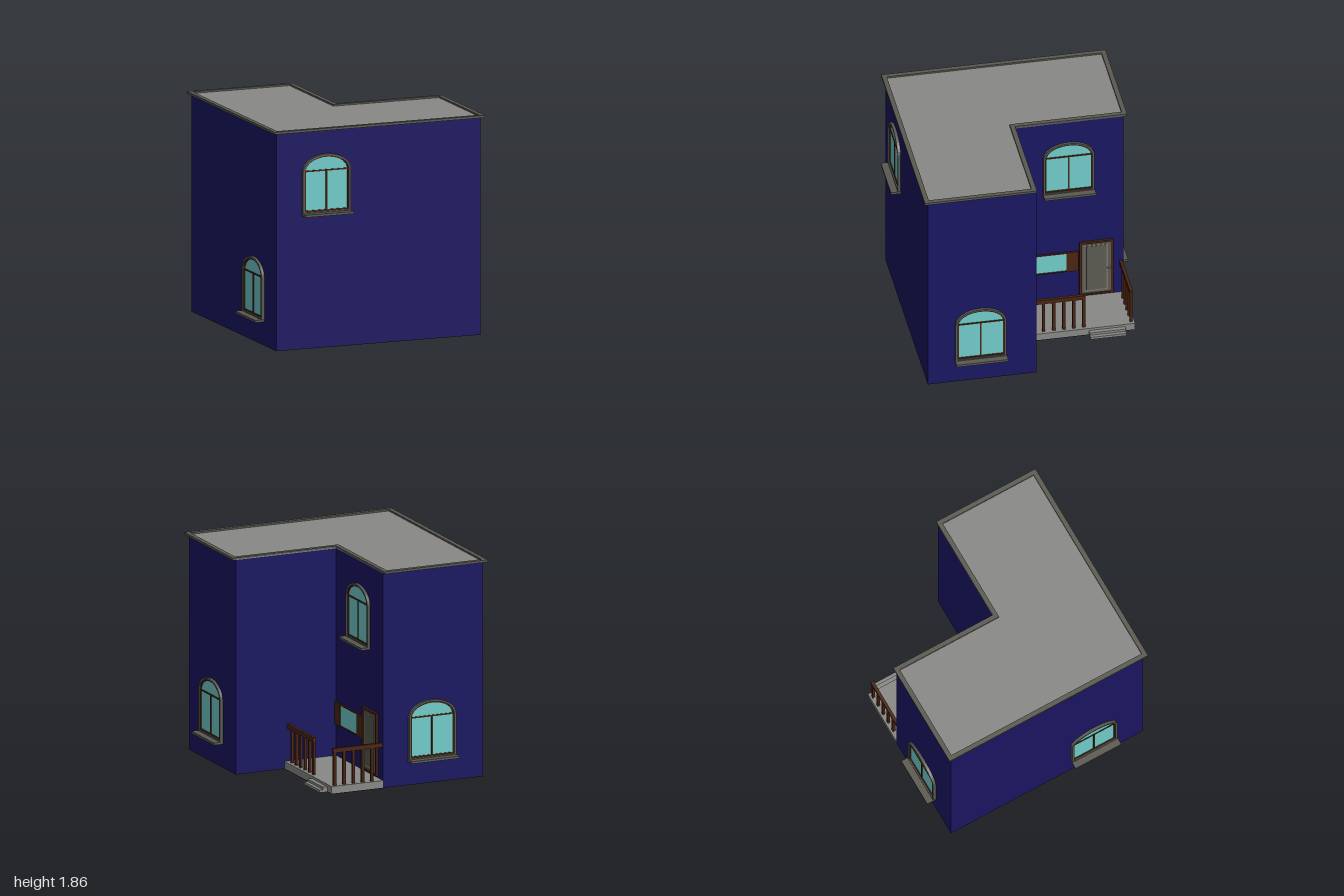
import * as THREE from 'three';

const mat = (color) => new THREE.MeshStandardMaterial({ color });
const M = {
  wall: mat(0x1a1662), trim: mat(0x5a5951), roof: mat(0x888886),
  wood: mat(0x4a2412), glass: mat(0x70cbc9), base: mat(0x2e170b), inset: mat(0x77766f),
};

function add(parent, name, geometry, material) {
  const mesh = new THREE.Mesh(geometry, material);
  mesh.name = name;
  parent.add(mesh);
  return mesh;
}

// Box given by its min and max corners
function box(parent, name, material, x0, x1, y0, y1, z0, z1) {
  const mesh = add(parent, name, new THREE.BoxGeometry(x1 - x0, y1 - y0, z1 - z0), material);
  mesh.position.set((x0 + x1) / 2, (y0 + y1) / 2, (z0 + z1) / 2);
  return mesh;
}

// L-shaped outline: outer half size h, inner corner at (c, c)
const lPoints = (h, c) => [[-h, -h], [h, -h], [h, c], [c, c], [c, h], [-h, h]]
  .map(([x, y]) => new THREE.Vector2(x, y));

// Horizontal L-shaped slab between two heights, with an optional hole outline
function lSlab(parent, name, material, h, y0, y1, hole) {
  const shape = new THREE.Shape(lPoints(h, 0));
  if (hole) shape.holes.push(new THREE.Path(hole));
  const geo = new THREE.ExtrudeGeometry(shape, { depth: y1 - y0, bevelEnabled: false });
  geo.rotateX(-Math.PI / 2);
  geo.translate(0, y0, 0);
  return add(parent, name, geo, material);
}

// Arched outline: half width w, sides from bottom to spring, elliptical head of the given rise
function archPoints(w, bottom, spring, rise) {
  const pts = [new THREE.Vector2(-w, bottom), new THREE.Vector2(w, bottom)];
  for (let i = 0; i <= 20; i++) {
    const a = (i / 20) * Math.PI;
    pts.push(new THREE.Vector2(w * Math.cos(a), spring + rise * Math.sin(a)));
  }
  return pts;
}

function arch(parent, name, material, outer, inner, depth) {
  const shape = new THREE.Shape(outer);
  if (inner) shape.holes.push(new THREE.Path(inner));
  return add(parent, name, new THREE.ExtrudeGeometry(shape, { depth, bevelEnabled: false }), material);
}

// Arched window facing +z; its origin is at the bottom centre on the wall
function archedWindow(name) {
  const g = new THREE.Group();
  g.name = name;
  const outer = archPoints(0.215, 0.02, 0.372, 0.14);
  const mid = archPoints(0.197, 0.03, 0.372, 0.124);
  const inner = archPoints(0.187, 0.042, 0.372, 0.113);
  arch(g, 'windowSurround', M.trim, outer, mid, 0.025);
  arch(g, 'windowFrame', M.wood, mid, inner, 0.014);
  arch(g, 'windowGlass', M.glass, inner, null, 0.006);
  box(g, 'transom', M.wood, -0.187, 0.187, 0.367, 0.379, 0, 0.013);
  box(g, 'mullion', M.wood, -0.007, 0.007, 0.042, 0.367, 0, 0.013);
  box(g, 'windowSill', M.trim, -0.218, 0.218, 0, 0.02, 0, 0.083);
  return g;
}

// Straight railing along +x from the origin, with posts at the given distances
function railing(name, length, posts) {
  const g = new THREE.Group();
  g.name = name;
  box(g, 'handrail', M.wood, 0, length, 0.345, 0.383, -0.013, 0.013);
  for (const p of posts) box(g, 'railPost', M.wood, p - 0.012, p + 0.012, 0.065, 0.346, -0.011, 0.011);
  return g;
}

// Entrance door facing +z, centred on x
function entranceDoor() {
  const g = new THREE.Group();
  g.name = 'entranceDoor';
  for (const s of [-1, 1]) box(g, 'doorJamb', M.wood, s * 0.133 - 0.009, s * 0.133 + 0.009, 0.08, 0.615, 0, 0.02);
  box(g, 'doorHead', M.wood, -0.124, 0.124, 0.597, 0.615, 0, 0.02);
  box(g, 'threshold', M.wood, -0.124, 0.124, 0.08, 0.095, 0, 0.02);
  box(g, 'doorLeaf', M.trim, -0.124, 0.124, 0.095, 0.597, 0, 0.01);
  box(g, 'doorMoulding', M.inset, -0.098, 0.098, 0.115, 0.58, 0, 0.013);
  box(g, 'doorPanel', M.trim, -0.085, 0.085, 0.128, 0.567, 0, 0.015);
  box(g, 'doorHandle', M.roof, 0.09, 0.122, 0.335, 0.344, 0.02, 0.03);
  box(g, 'handleStem', M.roof, 0.113, 0.122, 0.335, 0.344, 0.008, 0.02);
  return g;
}

// Low window on the porch wall, facing +z, with a solid panel at each side
function porchWindow() {
  const g = new THREE.Group();
  g.name = 'porchWindow';
  box(g, 'porchGlass', M.glass, -0.165, 0.165, 0.345, 0.518, 0, 0.008);
  for (const s of [-1, 1]) box(g, 'shutter', M.wood, s * 0.215 - 0.05, s * 0.215 + 0.05, 0.335, 0.528, 0, 0.015);
  for (const y of [0.335, 0.518]) box(g, 'porchWindowRail', M.wood, -0.165, 0.165, y, y + 0.01, 0, 0.015);
  return g;
}

export function createModel() {
  const house = new THREE.Group();
  house.name = 'house';
  const W = 0.915;

  // Shell and roof
  lSlab(house, 'houseBase', M.base, W, 0, 0.004);
  lSlab(house, 'walls', M.wall, W, 0.004, 1.835);
  lSlab(house, 'roofDeck', M.roof, 0.93, 1.835, 1.841);
  lSlab(house, 'roofRim', M.trim, 0.945, 1.835, 1.855, lPoints(0.905, -0.04));

  // Windows: name, x, y, z, turn about y
  const windows = [
    ['frontWindow', -0.47, 1.125, W, 0],
    ['leftSideWindow', W, 0.2, 0.47, Math.PI / 2],
    ['rightSideWindow', -W, 0.2, 0.442, -Math.PI / 2],
    ['backWindow', -0.445, 0.2, -W, Math.PI],
    ['abovePorchWindow', 0, 1.125, -0.45, Math.PI / 2],
  ];
  for (const [name, x, y, z, turn] of windows) {
    const w = archedWindow(name);
    w.position.set(x, y, z);
    w.rotation.y = turn;
    house.add(w);
  }

  // Porch and steps
  const porch = new THREE.Group();
  porch.name = 'porch';
  box(porch, 'porchBase', M.base, 0, 0.47, 0, 0.004, -0.92, 0);
  box(porch, 'porchFloor', M.roof, 0, 0.47, 0.004, 0.065, -0.92, 0);
  box(porch, 'upperStep', M.roof, 0.46, 0.508, 0, 0.044, -0.835, -0.53);
  box(porch, 'lowerStep', M.roof, 0.46, 0.54, 0, 0.022, -0.835, -0.53);

  // Railings at the open side and the back
  const side = railing('sideRailing', 0.505, [0.07, 0.155, 0.24, 0.325, 0.41, 0.493]);
  side.position.set(0.433, 0, 0);
  side.rotation.y = Math.PI / 2;
  const back = railing('backRailing', 0.45, [0.09, 0.175, 0.26, 0.345, 0.43]);
  back.position.z = -0.892;
  porch.add(side, back);

  // Door and low window on the porch wall
  const door = entranceDoor();
  door.position.z = -0.682;
  const low = porchWindow();
  low.position.z = -0.266;
  for (const part of [door, low]) part.rotation.y = Math.PI / 2;
  porch.add(door, low);
  house.add(porch);

  return house;
}
